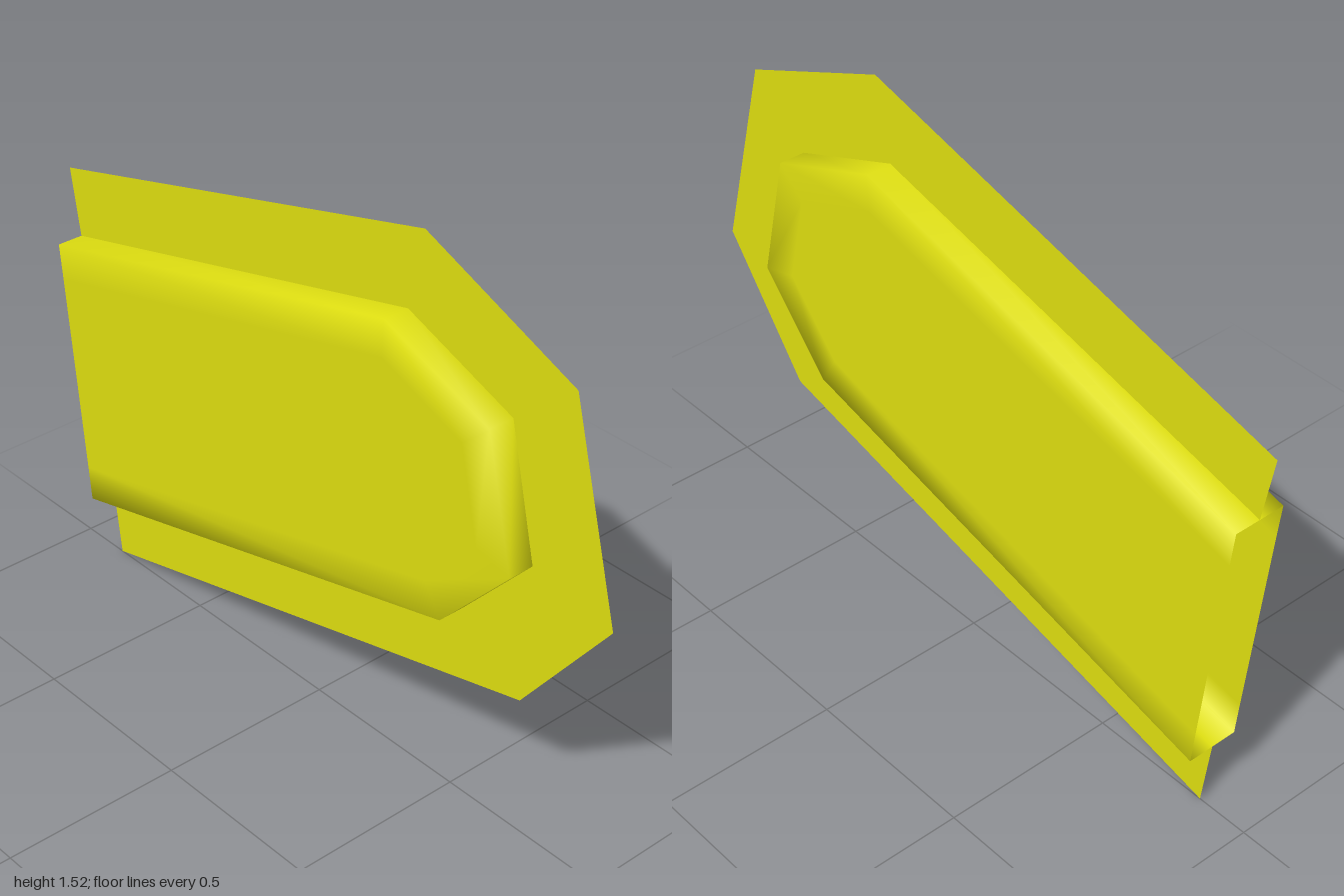
import * as THREE from 'three';

const HALF = 0.075; // half thickness of the raised shell

// Profiles as [z, y], running from the top back corner round the nose to the bottom back corner
const RIM = [[-1, 1.16], [0.36, 1.52], [0.85, 1.32], [1, 0.75], [0.725, 0.395], [-0.85, 0]];
const WALL = [[-0.965, 0.97], [0.31, 1.293], [0.66, 1.16], [0.743, 0.797], [0.52, 0.555], [-0.877, 0.2]];
const INSET = [[-0.953, 0.87], [0.304, 1.188], [0.575, 1.085], [0.633, 0.826], [0.466, 0.644], [-0.888, 0.3]];

// Join equal-length open profiles, each at its own x, into one smooth skin
function skin(loops, capped) {
  const n = loops[0].points.length;
  const positions = loops.flatMap(({ x, points }) => points.flatMap(([z, y]) => [x, y, z]));
  const index = [];
  for (let k = 0; k < loops.length - 1; k++) {
    for (let i = 0; i < n - 1; i++) {
      const a = k * n + i, b = a + n;
      index.push(a, b, b + 1, a, b + 1, a + 1);
    }
  }
  if (capped) {
    const last = (loops.length - 1) * n;
    for (let i = 1; i < n - 1; i++) {
      index.push(0, i, i + 1);
      index.push(last, last + i + 1, last + i);
    }
  }
  const geometry = new THREE.BufferGeometry();
  geometry.setAttribute('position', new THREE.Float32BufferAttribute(positions, 3));
  geometry.setIndex(index);
  geometry.computeVertexNormals();
  return geometry;
}

export function createModel() {
  const group = new THREE.Group();
  const yellow = new THREE.MeshStandardMaterial({ color: 0xdede10, side: THREE.DoubleSide });
  yellow.name = 'yellow';

  // Hollow shell, open at the back, with softly shaded edges
  const shell = new THREE.Mesh(skin([
    { x: HALF, points: INSET },
    { x: HALF, points: WALL },
    { x: 0, points: WALL },
    { x: -HALF, points: WALL },
    { x: -HALF, points: INSET },
  ], true), yellow);
  shell.name = 'shell';

  // Flat flange round the middle of the shell
  const flange = new THREE.Mesh(skin([
    { x: 0, points: WALL },
    { x: 0, points: RIM },
  ], false), yellow);
  flange.name = 'flange';

  group.add(shell, flange);
  return group;
}
